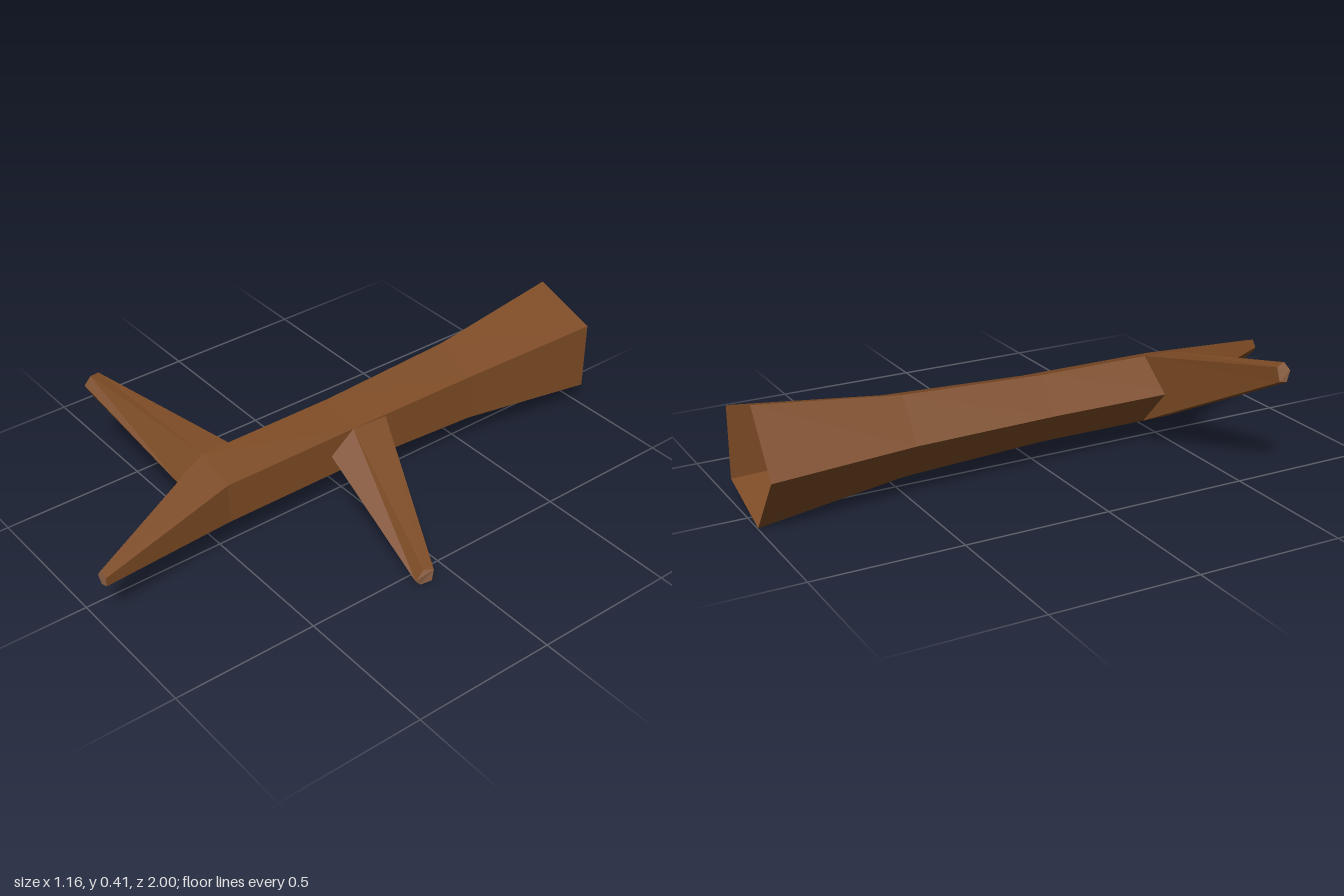
import * as THREE from 'three';

const bark = new THREE.MeshStandardMaterial({ color: 0x7c4a24, flatShading: true, side: THREE.DoubleSide });
bark.name = 'bark';
const cutWood = new THREE.MeshStandardMaterial({ color: 0x96684a, flatShading: true, side: THREE.DoubleSide });
cutWood.name = 'cut wood';

// Flat-shaded geometry from a list of triangles, each made of three [x, y, z] points
function fromTriangles(points) {
  const geometry = new THREE.BufferGeometry();
  geometry.setAttribute('position', new THREE.Float32BufferAttribute(points.flat(), 3));
  geometry.computeVertexNormals();
  return geometry;
}

// Skin joining equal rings, closed by a cut face on the last ring
function limb(name, rings) {
  const skin = [], cap = [];
  const n = rings[0].length;
  for (let r = 0; r < rings.length - 1; r++) {
    const a = rings[r], b = rings[r + 1];
    for (let i = 0; i < n; i++) {
      const j = (i + 1) % n;
      skin.push(a[i], a[j], b[j], a[i], b[j], b[i]);
    }
  }
  const end = rings[rings.length - 1];
  for (let i = 1; i < n - 1; i++) cap.push(end[0], end[i], end[i + 1]);

  const group = new THREE.Group();
  group.name = name;
  const skinMesh = new THREE.Mesh(fromTriangles(skin), bark);
  skinMesh.name = name + 'Bark';
  const capMesh = new THREE.Mesh(fromTriangles(cap), cutWood);
  capMesh.name = name + 'CutEnd';
  group.add(skinMesh, capMesh);
  return group;
}

// Five-sided trunk section with a corner pointing to -x
function pentagon(x, y, z, radius) {
  return Array.from({ length: 5 }, (_, i) => {
    const angle = (36 + 72 * i) * Math.PI / 180;
    return [x + radius * Math.cos(angle), y + radius * Math.sin(angle), z];
  });
}

export function createModel() {
  const model = new THREE.Group();
  model.name = 'fallenBranch';

  // Hollow trunk, open at the wide back end and tapering to the front
  model.add(limb('trunk', [
    pentagon(-0.03, 0.205, -1, 0.21),
    pentagon(-0.033, 0.205, -0.5, 0.145),
    pentagon(-0.035, 0.205, 0, 0.123),
    pentagon(-0.035, 0.205, 0.5, 0.123),
    pentagon(0.13, 0.205, 1, 0.026),
  ]));

  // Drooping branch on the left
  model.add(limb('leftBranch', [
    [[0.064, 0.277, -0.135], [0.064, 0.277, 0], [0.064, 0.205, 0.09], [0.064, 0.133, 0], [0.064, 0.133, -0.135]],
    [[0.577, 0.061, 0.085], [0.565, 0.068, 0.117], [0.558, 0.03, 0.143], [0.555, 0.002, 0.12], [0.57, 0.012, 0.085]],
  ]));

  // Rising branch on the right
  model.add(limb('rightBranch', [
    [[-0.123, 0.213, 0.57], [-0.073, 0.322, 0.5], [-0.073, 0.322, 0.4], [-0.073, 0.088, 0.4], [-0.073, 0.088, 0.5]],
    [[-0.561, 0.38, 0.633], [-0.557, 0.41, 0.61], [-0.57, 0.403, 0.573], [-0.58, 0.355, 0.578], [-0.569, 0.345, 0.615]],
  ]));

  return model;
}
